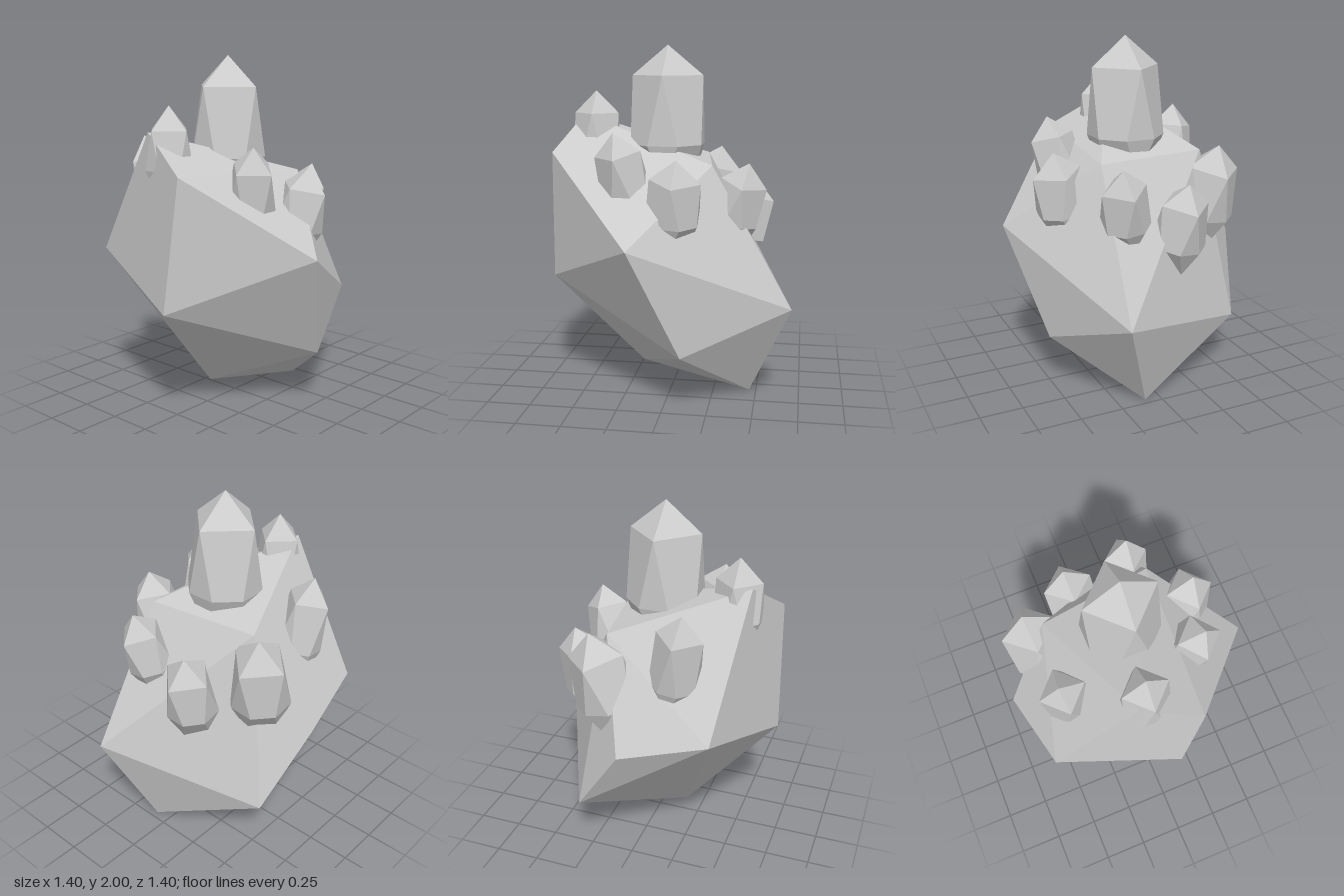
import * as THREE from 'three';
import { ConvexGeometry } from 'three/addons/geometries/ConvexGeometry.js';

const V = (x, y, z) => new THREE.Vector3(x, y, z);
const material = new THREE.MeshStandardMaterial({ color: 0xcccccc, flatShading: true });

// Faceted crystal: a four-sided tip on a shaft that widens to eight sides.
function crystal(name, tip, base, radius, tipLength) {
  const top = V(...tip), foot = V(...base);
  const axis = top.clone().sub(foot);
  const length = axis.length();
  const turn = new THREE.Quaternion().setFromUnitVectors(V(0, 1, 0), axis.normalize());
  const points = [V(0, length, 0)];
  const ring = (count, r, y, offset) => {
    for (let i = 0; i < count; i++) {
      const a = offset + (i / count) * Math.PI * 2;
      points.push(V(Math.cos(a) * r, y, Math.sin(a) * r));
    }
  };
  ring(4, radius, length - tipLength, 0);
  ring(8, radius * 1.08, length * 0.3, Math.PI / 8);
  ring(4, radius * 0.7, 0, 0);
  const geometry = new ConvexGeometry(points.map((p) => p.applyQuaternion(turn).add(foot)));
  const mesh = new THREE.Mesh(geometry, material);
  mesh.name = name;
  return mesh;
}

export function createModel() {
  const model = new THREE.Group();
  model.name = 'crystalCluster';

  // Large irregular boulder
  const corners = [
    [0.2, 1.4, 0.67], [0.11, 0.66, 0.7], [0.7, 0.95, 0.15], [-0.03, 0.11, 0.19],
    [0.53, 0.33, -0.11], [0.09, 0, -0.46], [0.29, 0.56, -0.7], [-0.7, 0.77, 0],
    [-0.6, 0.88, 0.48], [-0.58, 0.33, -0.29], [-0.4, 1.35, -0.16], [0.26, 1.35, -0.25],
    [-0.13, 1.6, 0.56],
  ];
  const rock = new THREE.Mesh(new ConvexGeometry(corners.map((c) => V(...c))), material);
  rock.name = 'rock';
  model.add(rock);

  // Tall middle crystal and the ring of smaller ones leaning outward
  const crystals = [
    ['mainCrystal', [-0.02, 2, 0.04], [-0.02, 1.2, 0.04], 0.205, 0.17],
    ['frontCrystal', [-0.06, 1.74, 0.47], [-0.06, 1.25, 0.47], 0.13, 0.13],
    ['frontLeftCrystal', [0.37, 1.53, 0.28], [0.28, 1.05, 0.2], 0.13, 0.12],
    ['leftCrystal', [0.47, 1.4, -0.08], [0.38, 0.92, -0.04], 0.14, 0.12],
    ['backLeftCrystal', [0.22, 1.36, -0.45], [0.15, 0.9, -0.33], 0.13, 0.12],
    ['backCrystal', [-0.17, 1.24, -0.46], [-0.14, 0.74, -0.34], 0.145, 0.12],
    ['backRightCrystal', [-0.49, 1.38, -0.23], [-0.42, 0.8, -0.11], 0.165, 0.14],
    ['frontRightCrystal', [-0.46, 1.54, 0.28], [-0.38, 0.95, 0.2], 0.13, 0.13],
  ];
  for (const c of crystals) model.add(crystal(...c));
  return model;
}
